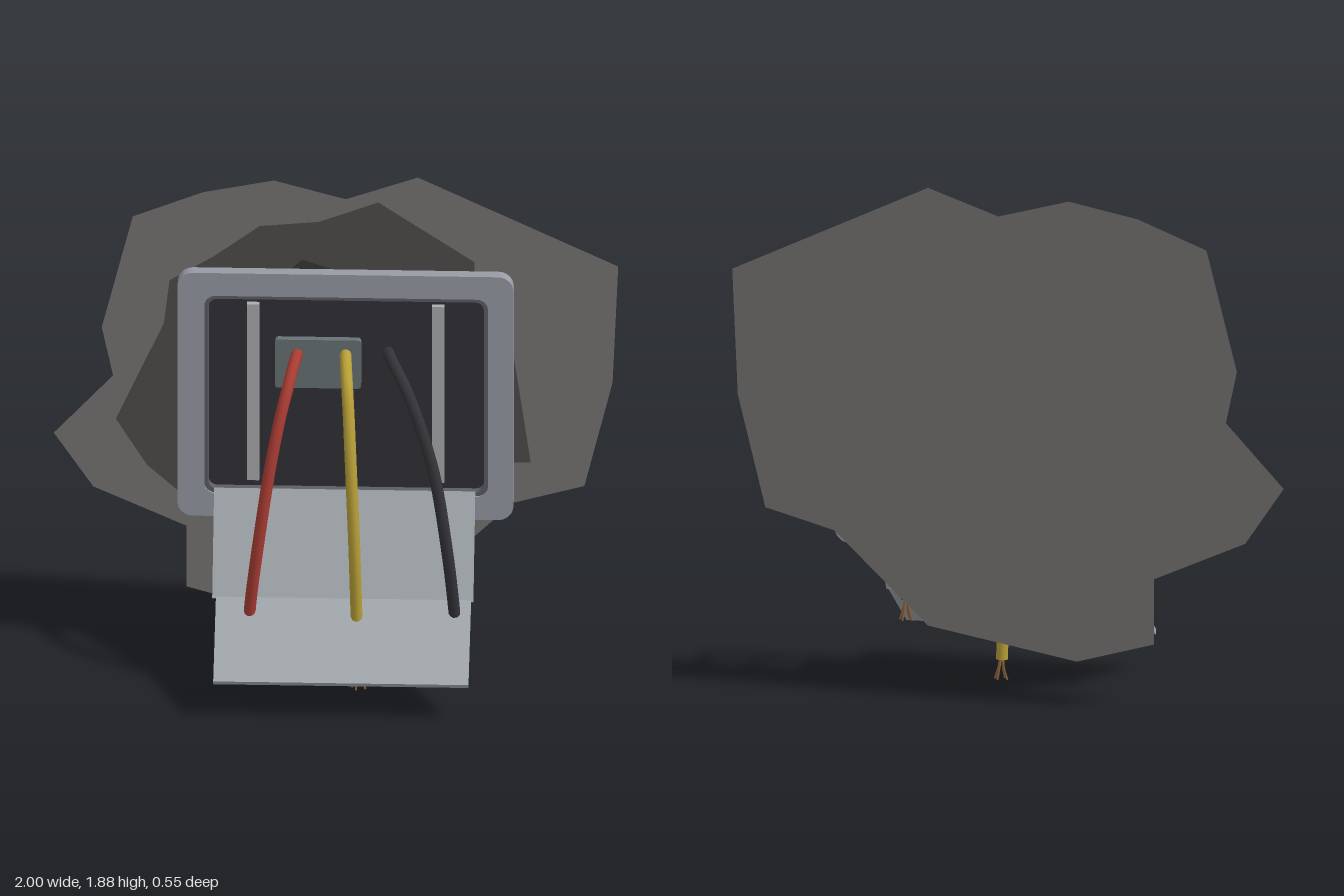
import * as THREE from 'three';

const mat = (color, side = THREE.FrontSide) =>
  new THREE.MeshStandardMaterial({ color, side, roughness: 0.8 });

// Rounded rectangle outline between two corners
function roundedRect(x0, y0, x1, y1, r, path = new THREE.Shape()) {
  path.moveTo(x0 + r, y0);
  path.lineTo(x1 - r, y0);
  path.absarc(x1 - r, y0 + r, r, -Math.PI / 2, 0);
  path.lineTo(x1, y1 - r);
  path.absarc(x1 - r, y1 - r, r, 0, Math.PI / 2);
  path.lineTo(x0 + r, y1);
  path.absarc(x0 + r, y1 - r, r, Math.PI / 2, Math.PI);
  path.lineTo(x0, y0 + r);
  path.absarc(x0 + r, y0 + r, r, Math.PI, Math.PI * 1.5);
  return path;
}

export function createModel() {
  const model = new THREE.Group();

  const add = (name, geometry, material, parent = model) => {
    const mesh = new THREE.Mesh(geometry, material);
    mesh.name = name;
    parent.add(mesh);
    return mesh;
  };
  const addBox = (name, x0, x1, y0, y1, z0, z1, material) =>
    add(name, new THREE.BoxGeometry(x1 - x0, y1 - y0, z1 - z0), material)
      .position.set((x0 + x1) / 2, (y0 + y1) / 2, (z0 + z1) / 2);
  const addPlate = (name, shape, z, depth, material) =>
    add(name, new THREE.ExtrudeGeometry(shape, { depth, bevelEnabled: false, curveSegments: 5 }), material)
      .position.z = z;

  // Jagged scorch marks on the wall, one sheet per shade
  const scorch = (name, points, z, color) => {
    const shape = new THREE.Shape(points.map(([x, y]) => new THREE.Vector2(x, y)));
    add(name, new THREE.ShapeGeometry(shape), mat(color, THREE.DoubleSide)).position.z = z;
  };
  scorch('outerScorch', [
    [0.29, 1.88], [0.035, 1.79], [-0.22, 1.86], [-0.47, 1.81], [-0.72, 1.71], [-0.83, 1.27],
    [-0.79, 1.08], [-1, 0.85], [-0.86, 0.64], [-0.53, 0.49], [-0.53, 0.25], [-0.25, 0.17],
    [0.29, 0.27], [0.63, 0.6], [0.88, 0.67], [0.98, 1.08], [1, 1.54],
  ], -0.273, 0x777572);
  scorch('middleScorch', [
    [0.15, 1.78], [-0.06, 1.7], [-0.27, 1.68], [-0.43, 1.56], [-0.59, 1.46], [-0.61, 1.29],
    [-0.78, 0.91], [-0.67, 0.73], [-0.56, 0.63], [-0.2, 0.56], [0.3, 0.62], [0.5, 0.76],
    [0.69, 0.76], [0.62, 1.25], [0.49, 1.42], [0.49, 1.55],
  ], -0.271, 0x504d4b);
  scorch('innerScorch', [
    [-0.12, 1.55], [-0.3, 1.38], [-0.4, 1.0], [-0.2, 0.75], [0.25, 0.75], [0.42, 1.1],
    [0.3, 1.4], [0, 1.51],
  ], -0.2695, 0x383535);

  // Wall frame with a rounded opening, its lining and the dark back
  const frame = roundedRect(-0.56, 0.555, 0.63, 1.515, 0.055);
  frame.holes.push(roundedRect(-0.465, 0.645, 0.54, 1.425, 0.04, new THREE.Path()));
  addPlate('frame', frame, -0.268, 0.045, mat(0x989ba5));
  const lining = roundedRect(-0.465, 0.645, 0.54, 1.425, 0.04);
  lining.holes.push(roundedRect(-0.45, 0.66, 0.525, 1.41, 0.03, new THREE.Path()));
  addPlate('openingLining', lining, -0.268, 0.038, mat(0x5c5e65));
  addPlate('backPanel', roundedRect(-0.46, 0.65, 0.535, 1.42, 0.035), -0.267, 0.005, mat(0x323036));

  // Mounting rails and the junction block
  for (const x of [-0.293, 0.363])
    addBox('rail', x - 0.022, x + 0.022, 0.69, 1.385, -0.263, -0.24, mat(0xaaadb0));
  addPlate('junctionBlock', roundedRect(-0.215, 1.06, 0.09, 1.25, 0.012), -0.263, 0.028, mat(0x687276));

  // Bent cover hanging open: each leaf spans two points in the y-z plane
  const addLeaf = (name, x0, x1, [yA, zA], [yB, zB]) => {
    const length = Math.hypot(yB - yA, zB - zA);
    const leaf = add(name, new THREE.BoxGeometry(x1 - x0, 0.02, length), mat(0xa2a8ad));
    leaf.position.set((x0 + x1) / 2, (yA + yB) / 2, (zA + zB) / 2);
    leaf.rotation.x = Math.atan2(yA - yB, zB - zA);
  };
  addLeaf('upperCover', -0.43, 0.495, [0.665, -0.225], [0.33, -0.02]);
  addLeaf('lowerCover', -0.417, 0.487, [0.335, -0.025], [0.14, 0.27]);

  // Wires with frayed copper ends
  const addWire = (name, color, points) => {
    const wire = new THREE.Group();
    wire.name = name;
    model.add(wire);
    const path = points.map((p) => new THREE.Vector3(...p));
    const material = mat(color);
    const radius = 0.021;
    add('insulation', new THREE.TubeGeometry(new THREE.CatmullRomCurve3(path), 32, radius, 10), material, wire);

    const end = path[path.length - 1];
    const direction = end.clone().sub(path[path.length - 2]).normalize();
    const cap = add('cutEnd', new THREE.CircleGeometry(radius, 10), material, wire);
    cap.position.copy(end);
    cap.quaternion.setFromUnitVectors(new THREE.Vector3(0, 0, 1), direction);

    const copper = mat(0x8a6238);
    for (let i = 0; i < 4; i++) {
      const a = (i / 4) * Math.PI * 2 + 0.4;
      const at = (spread, y) =>
        new THREE.Vector3(end.x + spread * Math.cos(a), end.y + y, end.z + spread * 0.7 * Math.sin(a) - (y < 0 ? 0.012 : 0));
      const strand = new THREE.CatmullRomCurve3([at(0.006, 0.01), at(0.012, -0.03), at(0.026, -0.07)]);
      add('copperStrand', new THREE.TubeGeometry(strand, 5, 0.004, 5), copper, wire);
    }
  };
  addWire('redWire', 0xa83c33, [
    [-0.135, 1.195, -0.245], [-0.145, 1.185, -0.18], [-0.165, 1.13, -0.09], [-0.19, 1.04, -0.035],
    [-0.225, 0.86, 0.02], [-0.265, 0.58, 0.05], [-0.293, 0.34, 0.035], [-0.3, 0.24, 0.022],
  ]);
  addWire('yellowWire', 0xb89f38, [
    [0.035, 1.195, -0.245], [0.038, 1.185, -0.18], [0.046, 1.13, -0.09], [0.053, 1.04, -0.04],
    [0.063, 0.86, 0.02], [0.075, 0.59, 0.052], [0.083, 0.31, 0.045], [0.09, 0.075, 0.035],
  ]);
  addWire('blackWire', 0x333338, [
    [0.185, 1.195, -0.262], [0.2, 1.19, -0.2], [0.245, 1.145, -0.105], [0.285, 1.07, -0.05],
    [0.355, 0.86, 0.015], [0.405, 0.56, 0.05], [0.428, 0.33, 0.03], [0.432, 0.275, 0.022],
  ]);

  return model;
}
